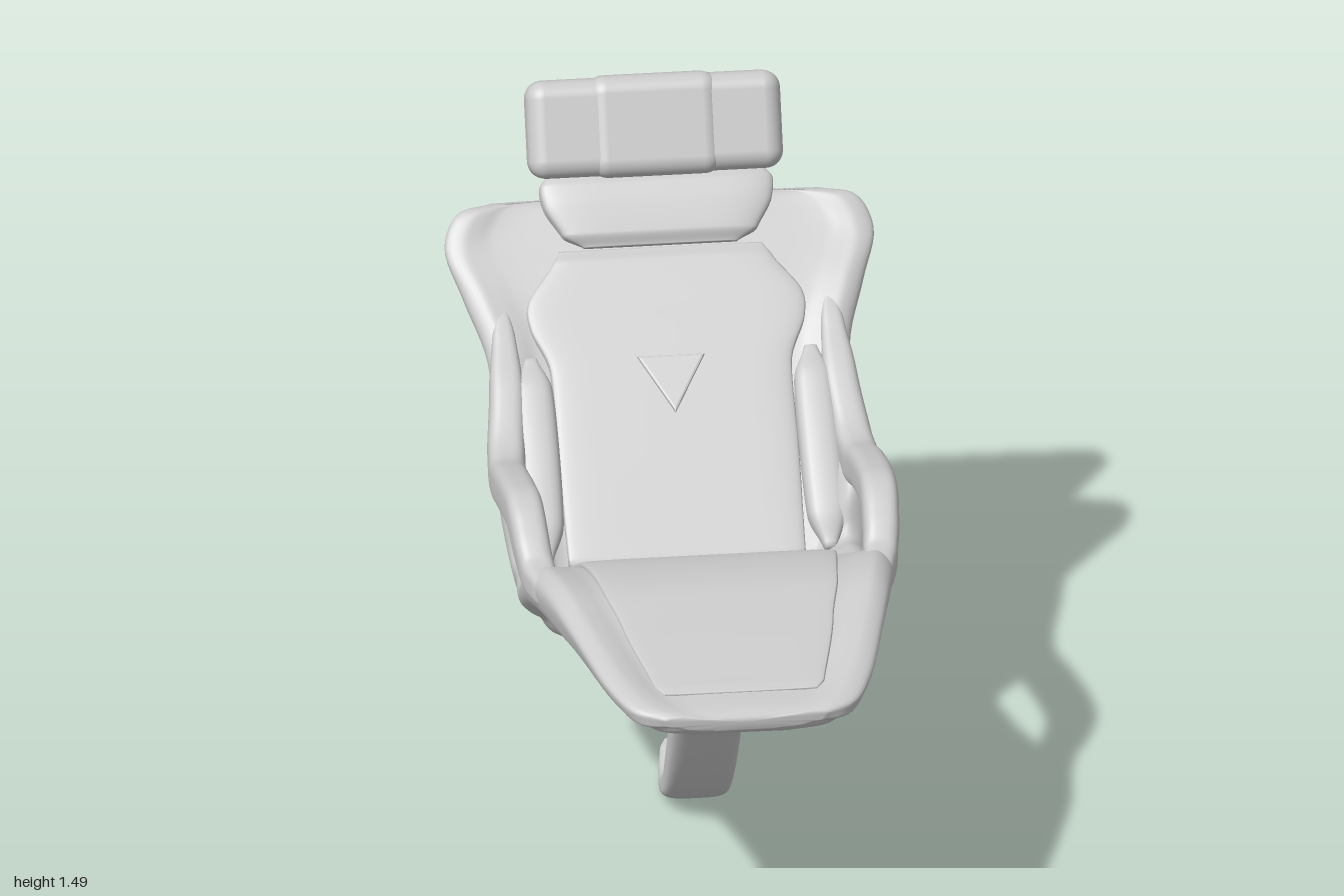
import * as THREE from 'three';
import { RoundedBoxGeometry } from 'three/addons/geometries/RoundedBoxGeometry.js';

const V = (x, y, z) => new THREE.Vector3(x, y, z);
const material = new THREE.MeshStandardMaterial({ color: 0xcccccc });

function part(name, geometry, parent) {
  const mesh = new THREE.Mesh(geometry, material);
  mesh.name = name;
  parent.add(mesh);
  return mesh;
}

// Skin a list of closed rings and close both ends with a fan
function loft(rings) {
  const n = rings[0].length, pos = [], idx = [];
  rings.forEach(r => r.forEach(p => pos.push(p.x, p.y, p.z)));
  for (let i = 0; i < rings.length - 1; i++) {
    for (let j = 0; j < n; j++) {
      const a = i * n + j, b = i * n + (j + 1) % n;
      idx.push(a, b, b + n, a, b + n, a + n);
    }
  }
  [0, rings.length - 1].forEach((row, last) => {
    const c = V(0, 0, 0);
    rings[row].forEach(p => c.addScaledVector(p, 1 / n));
    const k = pos.length / 3;
    pos.push(c.x, c.y, c.z);
    for (let j = 0; j < n; j++) {
      const a = row * n + j, b = row * n + (j + 1) % n;
      last ? idx.push(k, a, b) : idx.push(k, b, a);
    }
  });
  const g = new THREE.BufferGeometry();
  g.setAttribute('position', new THREE.Float32BufferAttribute(pos, 3));
  g.setIndex(idx);
  g.computeVertexNormals();
  return g;
}

// Rounded slab swept along a side-view path; rows are [z, y, half width, half thickness, sideways offset]
function slab(rows, e = 0.5, side = 1, steps = 56, sides = 40) {
  const path = new THREE.CatmullRomCurve3(rows.map(r => V(0, r[1], r[0])));
  const size = new THREE.CatmullRomCurve3(rows.map(r => V(r[2], r[3], r[4] ?? 0)), false, 'catmullrom', 0.3);
  const pow = v => Math.sign(v) * Math.abs(v) ** e;
  const rings = [];
  for (let i = 0; i <= steps; i++) {
    const p = path.getPoint(i / steps), t = path.getTangent(i / steps), s = size.getPoint(i / steps);
    const ring = [];
    for (let j = 0; j < sides; j++) {
      const a = j / sides * Math.PI * 2, h = s.y * pow(Math.sin(a));
      ring.push(V(side * s.z + s.x * pow(Math.cos(a)), p.y + h * t.z, p.z - h * t.y));
    }
    rings.push(ring);
  }
  return loft(rings);
}

// Tub shell stations, front to back: [bottom z, y, floor z, y, rim z, y, bottom half width, rim half width]
const STATIONS = [
  [.997, .705, .999, .735, .999, .74, .15, .19],
  [.968, .684, .965, .748, .965, .756, .22, .262],
  [.88, .678, .87, .757, .87, .775, .26, .31],
  [.60, .675, .62, .80, .62, .815, .33, .375],
  [.45, .635, .45, .82, .45, .832, .36, .41],
  [.20, .55, .25, .78, .25, .79, .37, .438],
  [0, .47, .07, .68, .10, .69, .37, .435],
  [-.15, .425, -.10, .595, -.09, .635, .37, .42],
  [-.23, .415, -.20, .55, -.18, .62, .37, .42],
  [-.31, .45, -.26, .60, -.225, .735, .37, .435],
  [-.50, .63, -.39, .745, -.36, .80, .365, .44],
  [-.70, .83, -.59, .95, -.55, .94, .365, .43],
  [-.79, .95, -.69, 1.06, -.67, 1.05, .39, .475],
  [-.865, 1.10, -.78, 1.14, -.76, 1.13, .42, .51],
  [-.888, 1.165, -.83, 1.19, -.815, 1.192, .40, .475],
  [-.885, 1.185, -.855, 1.198, -.845, 1.2, .36, .40],
];

function shellGeometry() {
  const sections = STATIONS.map(([bz, by, fz, fy, rz, ry, wb, wr]) => {
    const B = V(0, by, bz), F = V(0, fy, fz), R = V(0, ry, rz);
    const at = (x, a, b, t) => a.clone().lerp(b, t).setX(x);
    const half = [
      at(0, F, R, 0), at((wr - .12) / 2, F, R, 0), at(wr - .12, F, R, .05), at(wr - .075, F, R, .75),
      at(wr - .04, R, B, 0), at(wr - .006, R, B, .13), at(wr - .01, R, B, .38), at(wb + .025, R, B, .56),
      at(wb, R, B, .65), at(wb - .025, R, B, .85), at(wb - .1, R, B, .98), at(wb / 2, R, B, 1), at(0, R, B, 1),
    ];
    const mirror = half.slice(1, -1).reverse().map(p => V(-p.x, p.y, p.z));
    return [...half, ...mirror];
  });
  const rails = sections[0].map((_, j) => new THREE.CatmullRomCurve3(sections.map(s => s[j])));
  const rings = [];
  for (let i = 0; i <= 90; i++) {
    const ring = new THREE.CatmullRomCurve3(rails.map(r => r.getPoint(i / 90)), true);
    rings.push(ring.getPoints(96).slice(0, 96));
  }
  return loft(rings);
}

// Arm bridging over the side window and running on into the backrest rim
const ARM = [
  [.45, .785, .015, .015, .365], [.33, .765, .035, .036, .393], [.24, .77, .041, .043, .405],
  [.175, .813, .043, .05, .413], [.1, .851, .044, .052, .418], [0, .84, .044, .051, .42],
  [-.15, .802, .044, .05, .42], [-.28, .766, .044, .05, .415], [-.37, .783, .044, .048, .408],
  [-.5, .885, .04, .04, .393], [-.6, .965, .028, .025, .388], [-.66, 1.02, .012, .01, .385],
];

// Padded bolster between the arm and the backrest
const BOLSTER = [
  [-.17, .59, .015, .015, .335], [-.24, .65, .048, .04, .335], [-.38, .78, .05, .042, .332],
  [-.49, .88, .045, .036, .33], [-.55, .935, .015, .01, .33],
];

export function createModel() {
  const model = new THREE.Group();
  model.name = 'reclinedSeat';

  part('shell', shellGeometry(), model);

  // Upholstery
  part('seatPad', slab([[.9, .755, .18, .003], [.87, .758, .2, .009], [.62, .80, .25, .01], [.45, .82, .28, .01],
    [.25, .782, .3, .012], [.07, .68, .32, .012], [-.1, .595, .325, .012], [-.2, .55, .3, .01]], .3), model);
  part('backPad', slab([[-.19, .55, .28, .015], [-.4, .757, .285, .022], [-.54, .9, .285, .022], [-.62, .98, .325, .022],
    [-.66, 1.02, .325, .022], [-.73, 1.088, .26, .02], [-.752, 1.112, .24, .006]], .3), model);
  part('collarPad', slab([[-.752, 1.118, .18, .01], [-.772, 1.14, .23, .03], [-.82, 1.195, .27, .036],
    [-.85, 1.232, .275, .032], [-.868, 1.262, .25, .015]], .4), model);

  // Shallow triangular inlay on the backrest
  const triangle = new THREE.Shape([[-.07, .062], [0, -.062], [.07, .062]].map(p => new THREE.Vector2(...p)));
  const inlay = part('backInlay', new THREE.ExtrudeGeometry(triangle, {
    depth: .008, bevelThickness: .004, bevelSize: .008, bevelSegments: 2,
  }), model);
  inlay.position.set(0, .882, -.495);
  inlay.rotation.x = -Math.PI / 4;

  // Arms and side bolsters
  for (const side of [1, -1]) {
    const label = side > 0 ? 'left' : 'right';
    part(label + 'Arm', slab(ARM, .6, side, 80), model);
    part(label + 'Bolster', slab(BOLSTER, .7, side, 30, 24), model);
  }

  // Headrest: one body with a raised centre cushion
  const headrest = new THREE.Group();
  headrest.name = 'headrest';
  headrest.position.set(0, 1.363, -.897);
  headrest.rotation.x = -.43;
  model.add(headrest);
  part('headrestBody', new RoundedBoxGeometry(.6, .23, .122, 6, .042), headrest);
  part('headrestCentre', new RoundedBoxGeometry(.31, .24, .126, 6, .042), headrest).position.z = .004;

  // Curved support leg with a turned-up foot
  part('leg', slab([[.44, .69, .105, .07], [.35, .565, .09, .055], [.22, .395, .085, .048], [.08, .19, .083, .045],
    [-.01, .085, .08, .04], [-.09, .038, .08, .032], [-.17, .03, .072, .027], [-.25, .047, .06, .016],
    [-.29, .055, .045, .008]], .55), model);

  return model;
}
